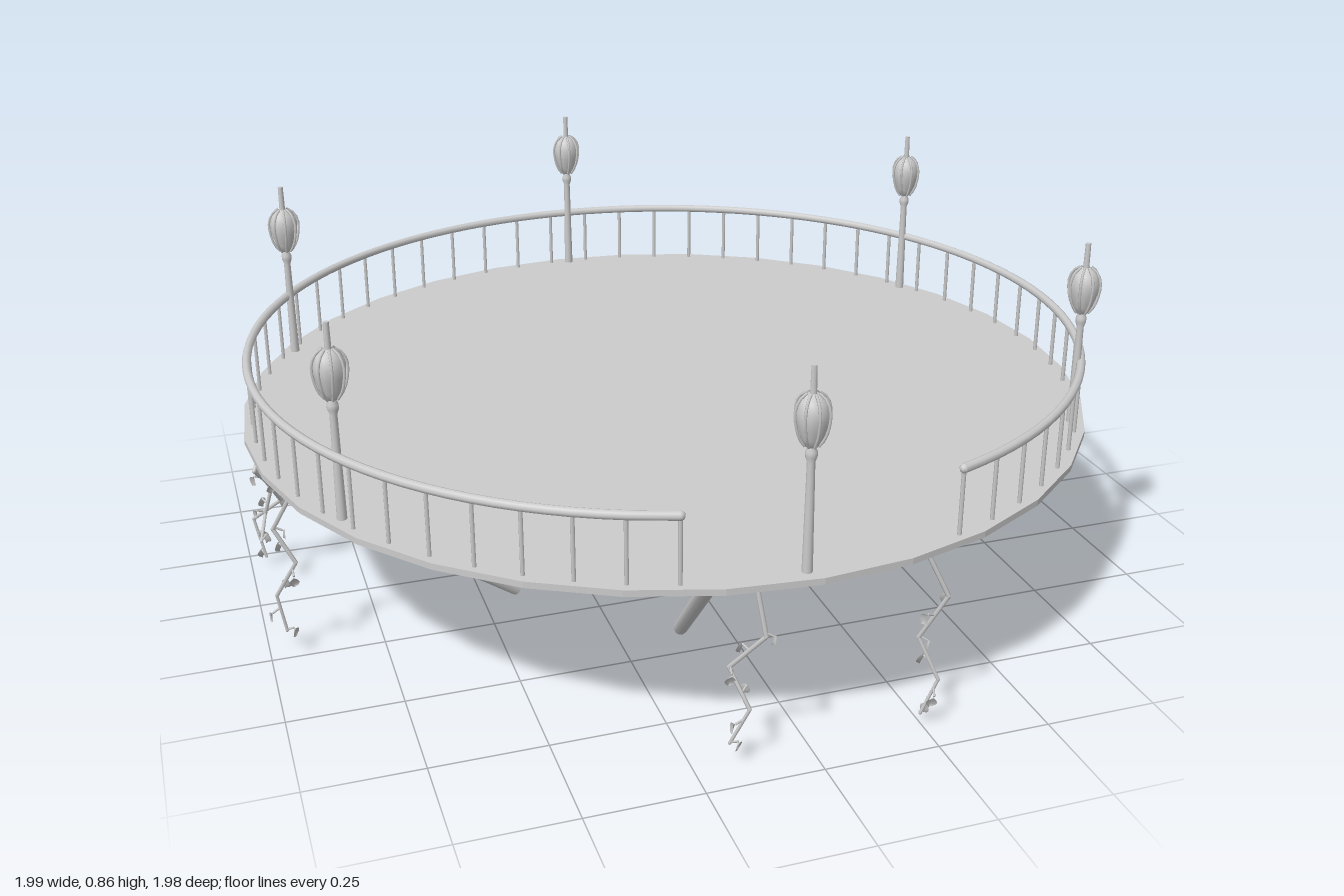
import * as THREE from 'three';

const stone = new THREE.MeshStandardMaterial({ color: 0xcccccc });
stone.name = 'plain grey';
const leafGrey = new THREE.MeshStandardMaterial({ color: 0xcccccc, side: THREE.DoubleSide });
leafGrey.name = 'leaf grey';

const CX = -0.012, CZ = 0.005; // centre of the deck
const V = (x, y, z) => new THREE.Vector3(x, y, z);

function add(parent, name, geometry, material = stone) {
  const mesh = new THREE.Mesh(geometry, material);
  mesh.name = name;
  parent.add(mesh);
  return mesh;
}

// Straight round bar between two points
function bar(parent, name, a, b, radius, sides = 8) {
  const mesh = add(parent, name, new THREE.CylinderGeometry(radius, radius, a.distanceTo(b), sides));
  mesh.position.copy(a).add(b).multiplyScalar(0.5);
  mesh.quaternion.setFromUnitVectors(V(0, 1, 0), b.clone().sub(a).normalize());
  return mesh;
}

function lathe(points, sides) {
  return new THREE.LatheGeometry(points.map(([r, y]) => new THREE.Vector2(r, y)), sides);
}

// Round platform with a stepped rim
function makeDeck(root) {
  const profile = [[0, 0.406], [0.965, 0.406], [0.985, 0.415], [0.985, 0.429], [0, 0.429]];
  const geometry = lathe(profile, 32).toNonIndexed();
  geometry.computeVertexNormals();
  add(root, 'deck', geometry).position.set(CX, 0, CZ);
}

// Railing, open at the front
function makeRailing(root) {
  const railing = new THREE.Group();
  railing.name = 'railing';
  root.add(railing);
  const start = 19.5, step = 6.005, count = 54, r = 0.962;
  const at = (i, y) => {
    const a = THREE.MathUtils.degToRad(start + i * step);
    return V(CX + r * Math.sin(a), y, CZ + r * Math.cos(a));
  };
  const points = [];
  for (let i = 0; i <= count; i++) {
    points.push(at(i, 0.575));
    bar(railing, 'railPost', at(i, 0.42), at(i, 0.575), 0.0045, 6);
  }
  const curve = new THREE.CatmullRomCurve3(points);
  add(railing, 'handrail', new THREE.TubeGeometry(curve, 108, 0.01, 8));
  for (const i of [0, count]) {
    add(railing, 'handrailEnd', new THREE.SphereGeometry(0.01, 8, 6)).position.copy(at(i, 0.575));
  }
}

// Lamp post with a ribbed lantern
function makeLamp(root, x, z) {
  const lamp = new THREE.Group();
  lamp.name = 'lampPost';
  lamp.position.set(x, 0, z);
  root.add(lamp);
  add(lamp, 'pole', lathe([[0.011, 0.42], [0.009, 0.58], [0.008, 0.66], [0.012, 0.672],
    [0.012, 0.682], [0.008, 0.69], [0.008, 0.7]], 10));
  add(lamp, 'lantern', lathe([[0, 0.692], [0.014, 0.694], [0.022, 0.71], [0.031, 0.74],
    [0.033, 0.765], [0.026, 0.785], [0.014, 0.797], [0, 0.8]], 12));
  add(lamp, 'spike', new THREE.CylinderGeometry(0.006, 0.007, 0.065, 8)).position.y = 0.8225;
  for (let i = 0; i < 8; i++) {
    const a = i * Math.PI / 4;
    const path = [[0.014, 0.694], [0.026, 0.712], [0.034, 0.742], [0.035, 0.767], [0.027, 0.788], [0.012, 0.8]]
      .map(([r, y]) => V(r * Math.sin(a), y, r * Math.cos(a)));
    add(lamp, 'lanternRib', new THREE.TubeGeometry(new THREE.CatmullRomCurve3(path), 8, 0.003, 5));
  }
}

// Slanting beams below the deck
function makeSupports(root) {
  for (let i = 0; i < 6; i++) {
    const a = THREE.MathUtils.degToRad(-17 + i * 60), c = Math.cos(a), s = Math.sin(a);
    bar(root, 'supportBeam', V(CX + 0.95 * c, 0.415, CZ + 0.95 * s),
      V(CX + 0.425 * c, 0.012, CZ + 0.425 * s), 0.0165, 10);
  }
}

// Pointed leaf with a slight fold along its middle
function leafGeometry() {
  const geometry = new THREE.PlaneGeometry(1, 1, 2, 4);
  const p = geometry.attributes.position;
  const widths = [0, 0.008, 0.0115, 0.009, 0];
  for (let i = 0; i < p.count; i++) {
    const row = Math.floor(i / 3), side = (i % 3) - 1;
    p.setXYZ(i, side * widths[row], -row * 0.009, side ? 0.004 : 0);
  }
  geometry.computeVertexNormals();
  return geometry;
}

// Hanging vine along a crooked path, with leaves on short stalks
function makeVine(root, path, seed) {
  const vine = new THREE.Group();
  vine.name = 'hangingVine';
  root.add(vine);
  const points = path.map(p => V(...p));
  const curve = new THREE.CurvePath();
  for (let i = 1; i < points.length; i++) {
    curve.add(new THREE.LineCurve3(points[i - 1], points[i]));
    bar(vine, 'vineStem', points[i - 1], points[i], 0.0055 - i * 0.0004, 6);
    add(vine, 'vineJoint', new THREE.SphereGeometry(0.0055 - i * 0.0004, 6, 4)).position.copy(points[i]);
  }
  const leaf = leafGeometry();
  for (let i = 0; i < 6; i++) {
    const a = seed * 1.3 + i * 2.4;
    const from = curve.getPoint(0.25 + i * 0.149);
    const to = from.clone().add(V(Math.sin(a) * 0.018, i % 2 ? 0.008 : -0.01, Math.cos(a) * 0.018));
    bar(vine, 'leafStalk', from, to, 0.0025, 5);
    const blade = add(vine, 'leaf', leaf, leafGrey);
    blade.position.copy(to);
    blade.rotation.set(0.5 * Math.cos(a), a, 0.6 * Math.sin(a), 'YXZ');
  }
}

export function createModel() {
  const root = new THREE.Group();
  root.name = 'roundPlatform';
  makeDeck(root);
  makeRailing(root);
  makeSupports(root);

  const lamps = [[0.01, -0.95], [0.825, -0.455], [0.805, 0.495],
    [-0.035, 0.955], [-0.845, 0.46], [-0.825, -0.495]];
  lamps.forEach(([x, z]) => makeLamp(root, x, z));

  const vines = [
    [[-0.13, 0.41, 0.935], [-0.115, 0.3, 0.955], [-0.17, 0.21, 0.9], [-0.14, 0.13, 0.94], [-0.175, 0.05, 0.925]],
    [[0.235, 0.41, 0.92], [0.28, 0.31, 0.94], [0.24, 0.2, 0.9], [0.275, 0.11, 0.93], [0.245, 0.03, 0.92]],
    [[0.94, 0.41, -0.03], [0.985, 0.34, 0.03], [0.9, 0.265, 0.04], [0.985, 0.21, -0.01], [0.95, 0.075, 0.01]],
    [[-0.12, 0.41, -0.94], [-0.12, 0.33, -0.96], [-0.16, 0.22, -0.92], [-0.11, 0.18, -0.98], [-0.16, 0.04, -0.94]],
    [[-0.68, 0.41, -0.65], [-0.71, 0.31, -0.63], [-0.67, 0.2, -0.66], [-0.68, 0.13, -0.7], [-0.62, 0.07, -0.66]],
    [[-0.93, 0.41, 0.285], [-0.97, 0.32, 0.25], [-0.93, 0.24, 0.265], [-0.975, 0.15, 0.235], [-0.96, 0.06, 0.235]],
    [[-0.93, 0.41, -0.1], [-0.98, 0.32, -0.05], [-0.94, 0.25, -0.11], [-0.96, 0.17, -0.13], [-0.98, 0.14, -0.05]],
    [[-0.92, 0.41, -0.17], [-0.96, 0.28, -0.1], [-0.92, 0.19, -0.15], [-0.985, 0.13, -0.19], [-0.965, 0.03, -0.18]],
  ];
  vines.forEach((path, i) => makeVine(root, path, i + 1));
  return root;
}
